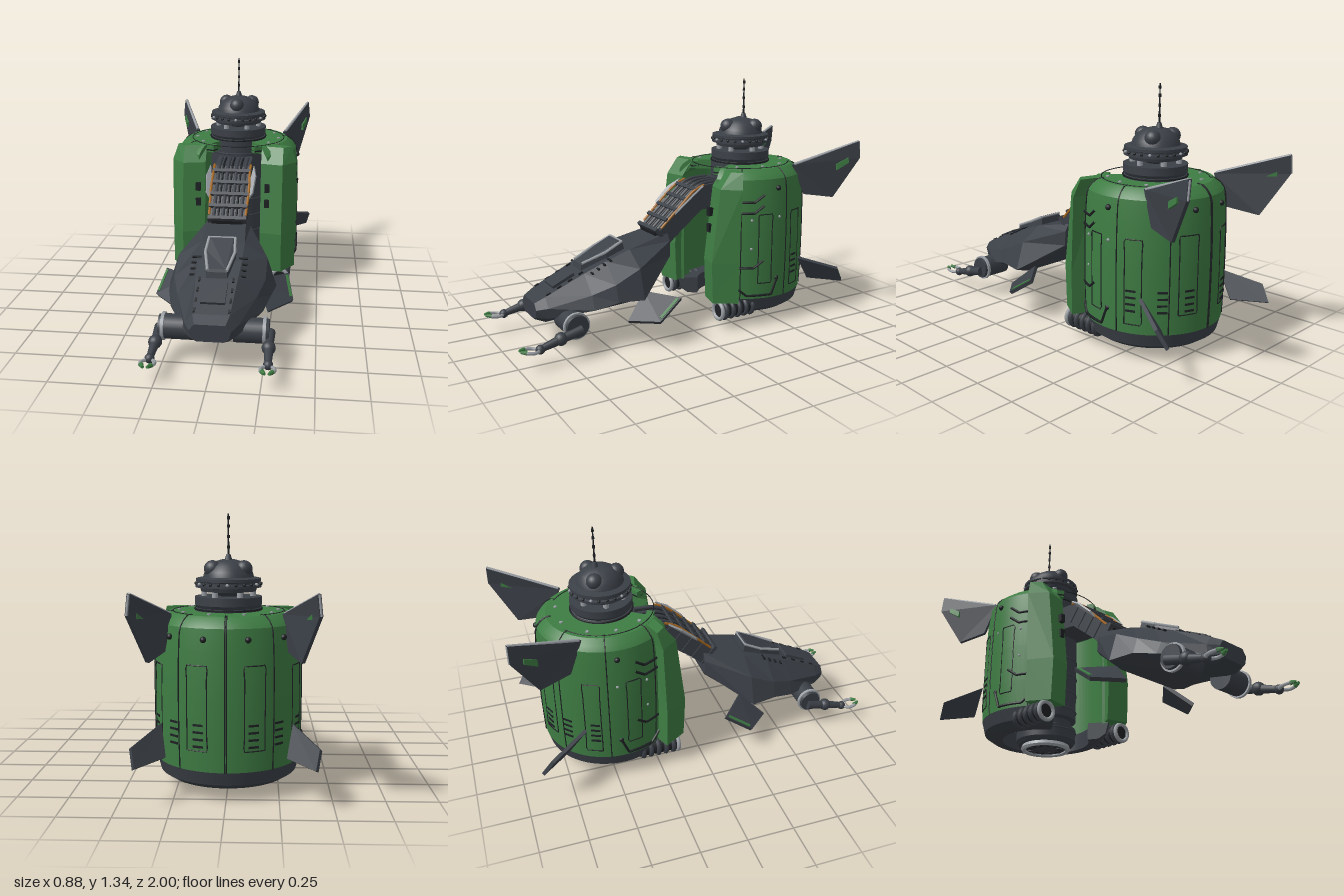
import * as THREE from 'three';
import { toCreasedNormals } from 'three/addons/utils/BufferGeometryUtils.js';

const mat = (name, color, side = THREE.FrontSide) => {
  const m = new THREE.MeshStandardMaterial({ color, side });
  m.name = name;
  return m;
};
const DRUM_Z = -0.46;
const V = (x, y, z) => new THREE.Vector3(x, y, z);
const polar = (phi, r, y) => V(r * Math.sin(phi), y, DRUM_Z + r * Math.cos(phi));

// Flat-shaded solid through rings of points, capped at both ends
function loft(rings) {
  const pos = [], n = rings[0].length;
  const tri = (...ps) => ps.forEach(p => pos.push(p.x, p.y, p.z));
  for (let i = 0; i < rings.length - 1; i++) {
    const a = rings[i], b = rings[i + 1];
    for (let j = 0; j < n; j++) {
      const k = (j + 1) % n;
      tri(a[j], a[k], b[k]);
      tri(a[j], b[k], b[j]);
    }
  }
  const first = rings[0], last = rings[rings.length - 1];
  for (let j = 1; j < n - 1; j++) {
    tri(first[0], first[j + 1], first[j]);
    tri(last[0], last[j], last[j + 1]);
  }
  const g = new THREE.BufferGeometry();
  g.setAttribute('position', new THREE.Float32BufferAttribute(pos, 3));
  g.computeVertexNormals();
  return g;
}

// Thin solid plate from a planar outline
function plate(points, t = 0.014) {
  const p = points.map(a => V(...a));
  const n = p[1].clone().sub(p[0]).cross(p[2].clone().sub(p[0])).normalize().multiplyScalar(t / 2);
  return loft([p.map(a => a.clone().sub(n)), p.map(a => a.clone().add(n))]);
}

const lathe = (pts, seg = 48, start = 0, len = Math.PI * 2) => toCreasedNormals(
  new THREE.LatheGeometry(pts.map(p => new THREE.Vector2(...p)), seg, start, len), 0.5);

const tube = (pts, r, seg = 24) => new THREE.TubeGeometry(new THREE.CatmullRomCurve3(pts), seg, r, 6);

// Tapered rod between two points
function rod(a, b, ra, rb = ra, sides = 12) {
  const A = V(...a), B = V(...b), d = B.clone().sub(A);
  const g = new THREE.CylinderGeometry(rb, ra, d.length(), sides);
  g.applyQuaternion(new THREE.Quaternion().setFromUnitVectors(V(0, 1, 0), d.normalize()));
  const m = A.add(B).multiplyScalar(0.5);
  return g.translate(m.x, m.y, m.z);
}

export function createModel() {
  const model = new THREE.Group();
  model.name = 'utilityCraft';
  const dark = mat('gunmetal', 0x3b4047), black = mat('black trim', 0x1d2023);
  const darkSheet = mat('gunmetal sheet', 0x3b4047, THREE.DoubleSide);
  const green = mat('green paint', 0x3e7c43, THREE.DoubleSide);
  const silver = mat('silver', 0x9ca1a6), orange = mat('orange', 0xa8691f);

  const add = (parent, name, geo, m, x = 0, y = 0, z = 0) => {
    const mesh = new THREE.Mesh(geo, m);
    mesh.name = name;
    mesh.position.set(x, y, z);
    parent.add(mesh);
    return mesh;
  };
  const box = (p, name, m, size, at, rx = 0, ry = 0) =>
    add(p, name, new THREE.BoxGeometry(...size), m, ...at).rotation.set(rx, ry, 0);

  // Central column, neck and nozzle
  add(model, 'column', lathe([[0, 0.03], [0.15, 0.03], [0.165, 0.05], [0.165, 0.12], [0.14, 0.13], [0.14, 0.16],
    [0.165, 0.17], [0.165, 0.88], [0.155, 0.885], [0.165, 0.9], [0.165, 0.94], [0, 0.94]]), dark, 0, 0, DRUM_Z);
  for (const y of [0.1, 0.22, 0.32, 0.42, 0.52, 0.8, 0.88]) {
    const band = add(model, 'columnBand', new THREE.TorusGeometry(0.165, 0.005, 6, 48), y > 0.8 ? black : dark, 0, y, DRUM_Z);
    band.rotation.x = Math.PI / 2;
  }
  add(model, 'nozzleRing', lathe([[0.11, 0.005], [0.13, 0], [0.137, 0.012], [0.13, 0.03], [0.11, 0.03], [0.11, 0.005]]), silver, 0, 0, DRUM_Z);
  add(model, 'nozzleDisc', new THREE.CylinderGeometry(0.11, 0.11, 0.02, 32), dark, 0, 0.022, DRUM_Z);
  for (let i = 0; i < 12; i++) {
    const a = i * Math.PI / 6, p = polar(a, 0.085, 0.011);
    box(model, 'nozzleVane', black, [0.012, 0.006, 0.035], [p.x, p.y, p.z], 0, a);
  }

  // Head: posts, collar, dome with lenses, antenna
  add(model, 'headCore', new THREE.CylinderGeometry(0.115, 0.04, 0.05, 24), dark, 0, 0.962, DRUM_Z);
  for (let i = 0; i < 6; i++) {
    const p = polar((i + 0.5) * Math.PI / 3, 0.12, 0.96);
    add(model, 'headPost', new THREE.CylinderGeometry(0.015, 0.015, 0.05, 10), silver, p.x, p.y, p.z);
  }
  add(model, 'dome', lathe([[0, 0.965], [0.135, 0.965], [0.14, 0.982], [0.163, 0.985], [0.163, 0.998], [0.15, 1.002], [0.15, 1.01], [0.16, 1.014],
    [0.16, 1.028], [0.125, 1.035], [0.118, 1.06], [0.098, 1.088], [0.065, 1.11], [0.03, 1.12], [0, 1.122]]), dark, 0, 0, DRUM_Z);
  for (let i = 0; i < 24; i++) {
    const p = polar(i * Math.PI / 12, 0.16, 1.002);
    add(model, 'collarStud', new THREE.SphereGeometry(0.008, 8, 6), i % 4 ? black : silver, p.x, p.y, p.z);
  }
  for (let i = 0; i < 3; i++) {
    const p = polar(i * Math.PI * 2 / 3, 0.088, 1.075);
    add(model, 'domeLens', new THREE.SphereGeometry(0.042, 20, 14), dark, p.x, p.y, p.z);
  }
  const ANT_Z = -0.48;
  add(model, 'antennaBase', new THREE.CylinderGeometry(0.01, 0.02, 0.03, 12), dark, 0, 1.13, ANT_Z);
  add(model, 'antenna', new THREE.CylinderGeometry(0.003, 0.005, 0.21, 8), black, 0, 1.235, ANT_Z);
  for (const y of [1.18, 1.23, 1.28, 1.32]) add(model, 'antennaNode', new THREE.CylinderGeometry(0.007, 0.007, 0.015, 8), black, 0, y, ANT_Z);

  // Open-fronted green drum shell and dark skirt
  const GAP = 0.6, SPAN = Math.PI * 2 - 2 * GAP;
  const cShape = (name, pts, m) => {
    add(model, name, lathe(pts, 64, GAP, SPAN), m, 0, 0, DRUM_Z);
    for (const phi of [GAP, -GAP]) {
      const cap = add(model, name + 'End', new THREE.ShapeGeometry(new THREE.Shape(pts.map(p => new THREE.Vector2(...p)))), m, 0, 0, DRUM_Z);
      cap.rotation.y = phi - Math.PI / 2;
    }
  };
  cShape('drumShell', [[0.32, 0.14], [0.358, 0.15], [0.364, 0.3], [0.365, 0.5], [0.36, 0.72], [0.348, 0.82], [0.33, 0.845], [0.295, 0.87],
    [0.166, 0.872], [0.166, 0.82], [0.29, 0.82], [0.325, 0.78], [0.325, 0.14], [0.32, 0.14]], green);
  cShape('skirt', [[0.24, 0.055], [0.3, 0.058], [0.34, 0.085], [0.357, 0.15], [0.24, 0.15], [0.24, 0.055]], darkSheet);

  // Fore hull: eight-sided sections (z, then y and half width of bottom, flank, shoulder, top)
  const hull = [[0.08, 0.395, 0.11, 0.41, 0.13, 0.49, 0.125, 0.53, 0.1], [0.32, 0.22, 0.2, 0.245, 0.285, 0.4, 0.235, 0.475, 0.115],
    [0.46, 0.2, 0.17, 0.25, 0.265, 0.335, 0.235, 0.43, 0.115], [0.58, 0.185, 0.14, 0.22, 0.235, 0.29, 0.2, 0.38, 0.105],
    [0.79, 0.15, 0.085, 0.18, 0.125, 0.235, 0.13, 0.285, 0.09], [0.845, 0.17, 0.065, 0.185, 0.09, 0.225, 0.1, 0.257, 0.075]];
  add(model, 'hull', loft(hull.map(([z, ...v]) => {
    const half = [0, 2, 4, 6].map(i => V(v[i + 1], v[i], z));
    return [...half, ...half.map(p => V(-p.x, p.y, z)).reverse()];
  })), dark);
  const canopyRing = (s, dy) => [[0.05, 0.41, 0.57], [0.078, 0.46, 0.44], [0.07, 0.505, 0.34], [-0.07, 0.505, 0.34], [-0.078, 0.46, 0.44], [-0.05, 0.41, 0.57]]
    .map(([x, y, z]) => V(x * s, y + dy, 0.45 + (z - 0.45) * s));
  add(model, 'canopy', loft([canopyRing(1.1, -0.05), canopyRing(1, 0), canopyRing(0.85, 0.01)]), dark);
  const rim = canopyRing(0.97, 0.008);
  for (let i = 0; i < 5; i++)
    add(model, 'canopyRim', rod(rim[i].toArray(), rim[i + 1].toArray(), i === 2 ? 0.005 : 0.008, i === 2 ? 0.005 : 0.008, 6), silver);
  box(model, 'noseHatch', dark, [0.12, 0.02, 0.13], [0, 0.342, 0.675], 0.43);
  box(model, 'rearHullBar', black, [0.17, 0.02, 0.02], [0, 0.53, 0.14], 0.25);

  // Bridge from column to hull
  const path = [[0.73, -0.32], [0.715, -0.14], [0.6, 0.01], [0.49, 0.13]];
  add(model, 'bridge', loft(path.map(([y, z]) => [V(0.1, y - 0.08, z), V(0.1, y + 0.055, z), V(-0.1, y + 0.055, z), V(-0.1, y - 0.08, z)])), dark);
  for (let i = 0; i < 5; i++)
    box(model, 'bridgeRib', dark, [0.212, 0.12, 0.02], [0, 0.712 - i * 0.05, -0.13 + i * 0.061], 0.69);
  for (const x of [-0.075, -0.025, 0.025, 0.075])
    add(model, 'bridgeRail', tube([V(x, 0.785, -0.27), V(x, 0.77, -0.14), V(x, 0.66, 0.005), V(x, 0.55, 0.13)], 0.01), dark);
  for (const x of [-0.05, 0, 0.05])
    add(model, 'bridgeGroove', tube([V(x, 0.785, -0.27), V(x, 0.77, -0.14), V(x, 0.66, 0.005), V(x, 0.55, 0.13)], 0.006), black);

  // Mirrored parts
  for (const s of [1, -1]) {
    const g = new THREE.Group();
    g.name = s > 0 ? 'leftSide' : 'rightSide';
    g.scale.x = s;
    model.add(g);

    // Front door panel with sloping top
    add(g, 'doorPanel', loft([[0.15, -0.01, 0, 0], [0.38, 0, 0, 0], [0.78, -0.05, 0, 0], [0.868, -0.115, 0.03, 0.01]].map(([y, dz, dx, b]) =>
      [V(0.16, y, -0.12 + dz), V(0.285, y, -0.09 + dz), V(0.36 - dx, y, -0.215 + dz / 3), V(0.24, y, -0.27 - b)])), green);
    for (const y of [0.645, 0.555]) box(g, 'doorLatch', black, [0.028, 0.045, 0.025], [0.198, y, -0.13]);
    box(g, 'topLatch', green, [0.06, 0.04, 0.04], [0.135, 0.85, -0.235], 0, 0.5);
    box(g, 'topLatchSlot', black, [0.06, 0.008, 0.044], [0.135, 0.842, -0.235], 0, 0.5);

    // Raised lines on the drum
    const line = (pts, r, name) => {
      const out = [];
      for (let i = 0; i < pts.length - 1; i++) for (let k = 0; k < 6; k++) {
        const t = k / 6, a = pts[i], b = pts[i + 1];
        out.push(polar(a[0] + (b[0] - a[0]) * t, 0.364, a[1] + (b[1] - a[1]) * t));
      }
      const e = pts[pts.length - 1];
      out.push(polar(e[0], 0.364, e[1]));
      add(g, name, tube(out, r, pts.length * 10), black);
    };
    for (const phi of [1.0, 1.76, 2.49, 3.13]) {
      add(g, 'drumSeam', tube([polar(phi, 0.36, 0.15), polar(phi, 0.366, 0.4), polar(phi, 0.361, 0.72), polar(phi, 0.347, 0.825),
        polar(phi, 0.297, 0.871), polar(phi, 0.27, 0.872)], 0.003), black);
    }
    for (const [a, b, y0, y1] of [[1.27, 1.49, 0.24, 0.63], [1.88, 2.12, 0.2, 0.63], [2.62, 2.9, 0.25, 0.65]])
      line([[a, y0], [a, y1], [b, y1], [b, y0], [a, y0]], 0.003, 'accessPanel');
    for (const phi of [1.97, 2.4, 2.78]) for (let i = 0; i < 4; i++) {
      const p = polar(phi, 0.363, 0.27 + i * 0.034);
      box(g, 'vent', black, [0.05, 0.01, 0.01], [p.x, p.y, p.z], 0, phi);
    }
    for (const y of [0.7, 0.64, 0.33]) line([[0.8, y], [1.2, y], [1.35, y + 0.04]], 0.007, 'drumPipe');
    line([[0.85, 0.24], [1.1, 0.17], [1.5, 0.17], [1.6, 0.26]], 0.007, 'drumPipe');
    for (const [phi, y] of [[1.6, 0.77], [1.6, 0.26], [2.3, 0.77], [2.85, 0.77]]) {
      const p = polar(phi, 0.356, y);
      add(g, 'bolt', new THREE.SphereGeometry(0.015, 10, 8), black, p.x, p.y, p.z);
    }
    for (const [phi, y] of [[1.16, 0.6], [1.16, 0.44], [1.62, 0.61]]) {
      const p = polar(phi, 0.363, y);
      add(g, 'rivet', new THREE.SphereGeometry(0.008, 8, 6), silver, p.x, p.y, p.z);
    }
    add(g, 'topSeam', new THREE.TorusGeometry(0.275, 0.0025, 6, 40, Math.PI / 2 + 0.97).rotateX(Math.PI / 2).rotateY(Math.PI / 2 - GAP), black, 0, 0.871, DRUM_Z);
    for (const phi of [0.9, 1.5, 2.1, 2.8]) {
      const p = polar(phi, 0.245, 0.872);
      add(g, 'topBolt', new THREE.CylinderGeometry(0.009, 0.009, 0.01, 10), silver, p.x, p.y, p.z);
    }

    // Drum fins
    add(g, 'upperFin', plate([[0.27, 0.87, -0.63], [0.405, 0.995, -0.995], [0.415, 0.9, -0.995], [0.348, 0.675, -0.865], [0.295, 0.7, -0.7]], 0.018), dark);
    add(g, 'upperFinEdge', rod([0.275, 0.872, -0.64], [0.405, 0.992, -0.993], 0.009, 0.009, 8), silver);
    add(g, 'upperFinTip', rod([0.405, 0.992, -0.993], [0.415, 0.9, -0.993], 0.006, 0.006, 8), silver);
    add(g, 'upperFinMark', plate([[0.368, 0.87, -0.865], [0.391, 0.905, -0.93], [0.394, 0.875, -0.93], [0.371, 0.835, -0.865]], 0.028), green);
    add(g, 'lowerFin', plate([[0.32, 0.34, -0.65], [0.435, 0.275, -0.85], [0.415, 0.19, -0.905], [0.29, 0.2, -0.75]], 0.018), dark);

    // Ribbed exhaust under the door
    add(g, 'exhaust', rod([0.28, 0.1, -0.36], [0.28, 0.1, -0.14], 0.045, 0.045, 20), black);
    for (let i = 0; i < 5; i++) add(g, 'exhaustRib', new THREE.TorusGeometry(0.045, 0.013, 8, 24), dark, 0.28, 0.1, -0.34 + i * 0.043);
    add(g, 'exhaustRim', new THREE.TorusGeometry(0.047, 0.011, 8, 28), silver, 0.28, 0.1, -0.14);

    // Bridge side plates and hoses
    add(g, 'bridgePlate', plate([[0.112, 0.72, -0.07], [0.108, 0.63, 0.04], [0.13, 0.66, 0.025], [0.14, 0.735, -0.06], [0.125, 0.775, -0.13]], 0.01), silver);
    add(g, 'bridgeHose', tube([V(0.104, 0.775, -0.15), V(0.103, 0.75, -0.09), V(0.106, 0.665, 0.01), V(0.1, 0.56, 0.12)], 0.007), orange);

    // Hull vents and fin with a green stripe on its upper face
    for (let i = 0; i < 4; i++) {
      box(g, 'hullVent', black, [0.045, 0.008, 0.01], [0.12, 0.437 - i * 0.018, 0.44 + i * 0.035], 0.38);
      box(g, 'noseVent', black, [0.01, 0.01, 0.025], [0.085, 0.378 - i * 0.028, 0.59 + i * 0.06], 0.43);
    }
    add(g, 'hullFin', plate([[0.18, 0.25, 0.27], [0.335, 0.235, 0.13], [0.37, 0.14, 0.275], [0.25, 0.13, 0.4]], 0.02), dark);
    add(g, 'hullFinStripe', plate([[0.338, 0.238, 0.148], [0.366, 0.162, 0.264], [0.354, 0.164, 0.273], [0.326, 0.24, 0.157]], 0.006), green);

    // Arm with shoulder, forearm and claw
    add(g, 'shoulder', rod([0.1, 0.165, 0.69], [0.245, 0.165, 0.69], 0.062, 0.062, 24), dark);
    add(g, 'shoulderDisc', rod([0.242, 0.165, 0.69], [0.258, 0.165, 0.69], 0.07, 0.07, 28), silver);
    add(g, 'shoulderCap', rod([0.255, 0.165, 0.69], [0.272, 0.165, 0.69], 0.062, 0.058, 24), dark);
    add(g, 'upperArm', rod([0.275, 0.15, 0.67], [0.275, 0.125, 0.78], 0.026, 0.022), dark);
    add(g, 'elbow', new THREE.SphereGeometry(0.034, 16, 12), dark, 0.275, 0.125, 0.785);
    add(g, 'forearm', rod([0.275, 0.122, 0.79], [0.28, 0.095, 0.9], 0.024, 0.016), dark);
    add(g, 'wrist', new THREE.SphereGeometry(0.024, 14, 10), dark, 0.28, 0.095, 0.895);
    for (const d of [1, -1]) {
      add(g, 'clawFinger', tube([V(0.28 + d * 0.01, 0.093, 0.9), V(0.28 + d * 0.032, 0.095, 0.93), V(0.28 + d * 0.03, 0.1, 0.965), V(0.28 + d * 0.016, 0.103, 0.985)], 0.009, 12), silver);
      add(g, 'clawTip', rod([0.28 + d * 0.024, 0.102, 0.97], [0.28 + d * 0.01, 0.106, 0.998], 0.012, 0.007, 8), green);
    }
  }
  return model;
}
